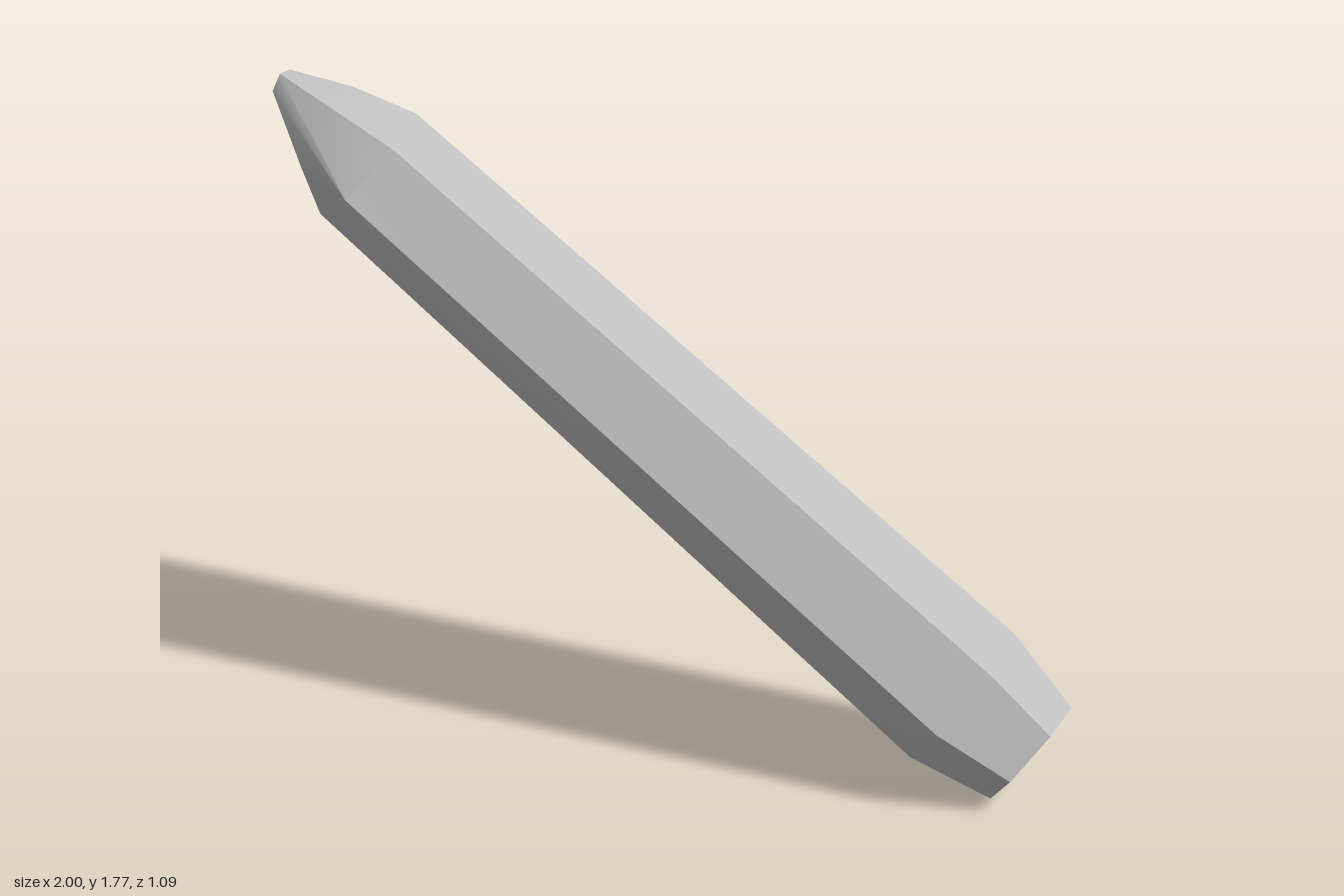
import * as THREE from 'three';
import { ConvexGeometry } from 'three/addons/geometries/ConvexGeometry.js';
import { toCreasedNormals } from 'three/addons/utils/BufferGeometryUtils.js';

const v = (p) => new THREE.Vector3(...p);

// Hexagonal ring: a centre and three half-diagonals, mirrored through the centre
function hexRing(center, spokes) {
  return spokes.flatMap((s) => [v(center).add(v(s)), v(center).sub(v(s))]);
}

export function createModel() {
  const model = new THREE.Group();
  model.name = 'crystal';
  const stone = new THREE.MeshStandardMaterial({ color: 0xbfbfbf });
  stone.name = 'grey stone';

  const points = [
    // flat small end
    ...hexRing([0.89, 0.11, 0.405], [[0.11, 0.11, -0.035], [0.04, 0.11, 0.105], [-0.07, 0, 0.14]]),
    // shoulder where the shaft reaches full width
    ...hexRing([0.72, 0.25, 0.33], [[0.145, 0.14, -0.06], [0.06, 0.14, 0.14], [-0.09, 0, 0.19]]),
    // upper end of the shaft
    ...hexRing([-0.76, 1.55, -0.365], [[0.13, 0.12, -0.04], [0.05, 0.12, 0.135], [-0.08, 0, 0.178]]),
    // irregular facets leading to the tip
    ...[
      [-0.79, 1.735, -0.45], [-0.94, 1.57, -0.34], [-0.84, 1.55, -0.543], [-0.95, 1.7, -0.52],
      [-0.95, 1.765, -0.505], [-0.98, 1.775, -0.47], [-1.0, 1.73, -0.46],
    ].map(v),
  ];

  // Sharp long edges, soft transitions along the shaft and at the tip
  const geometry = toCreasedNormals(new ConvexGeometry(points), 0.6);
  const shaft = new THREE.Mesh(geometry, stone);
  shaft.name = 'crystalShaft';
  model.add(shaft);
  return model;
}
